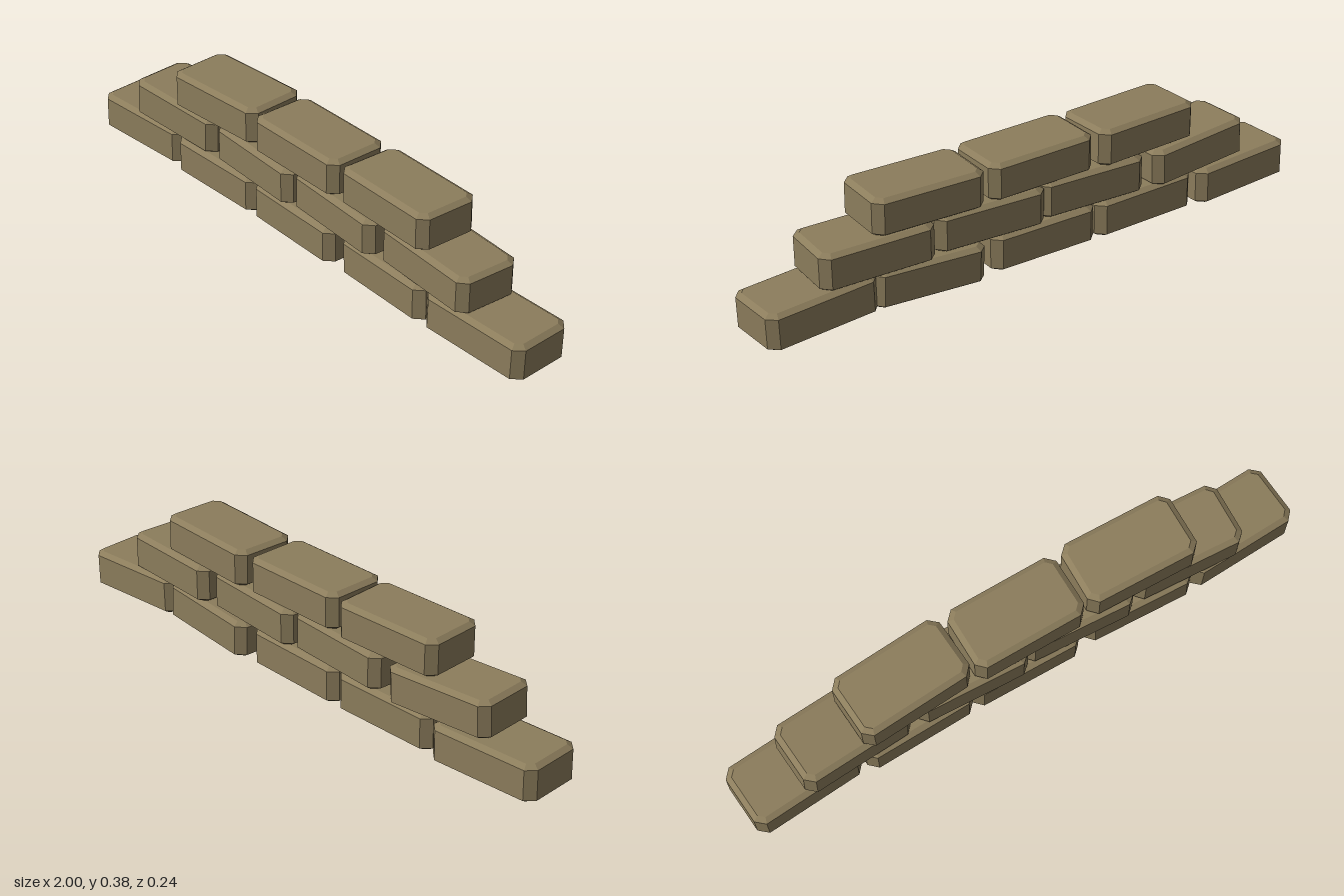
import * as THREE from 'three';

// One chamfered block: octagonal plan, bevelled top and bottom
function blockGeometry(length, height, depth) {
  const corner = 0.018, bevel = 0.018, lip = 0.012;
  const x = length / 2 - bevel, z = depth / 2 - bevel;
  const plan = new THREE.Shape([
    [x, -z + corner], [x, z - corner], [x - corner, z], [-x + corner, z],
    [-x, z - corner], [-x, -z + corner], [-x + corner, -z], [x - corner, -z],
  ].map(([a, b]) => new THREE.Vector2(a, b)));
  const geometry = new THREE.ExtrudeGeometry(plan, {
    depth: height - 2 * lip, bevelEnabled: true, bevelSegments: 1,
    bevelSize: bevel, bevelThickness: lip,
  });
  geometry.rotateX(-Math.PI / 2);
  geometry.center();
  return geometry;
}

export function createModel() {
  const model = new THREE.Group();
  model.name = 'blockWall';
  const sandstone = new THREE.MeshStandardMaterial({ color: 0x8c7d5c, flatShading: true });
  sandstone.name = 'sandstone';
  const geometry = blockGeometry(0.39, 0.125, 0.22);

  // Each block: centre x, yaw, tilt
  const rows = [
    { name: 'bottomRow', y: 0.075, blocks: [
      [-0.798, 0.065, -0.008], [-0.395, 0.02, 0], [-0.003, -0.02, -0.005],
      [0.418, -0.06, 0.03], [0.802, 0.045, -0.03]] },
    { name: 'middleRow', y: 0.2, blocks: [
      [-0.613, 0.065, -0.04], [-0.193, -0.055, 0], [0.193, -0.065, 0], [0.598, -0.06, -0.012]] },
    { name: 'topRow', y: 0.325, blocks: [
      [-0.398, 0.055, 0.006], [0.008, 0, -0.008], [0.417, -0.035, 0.006]] },
  ];
  for (const { name, y, blocks } of rows) {
    const row = new THREE.Group();
    row.name = name;
    blocks.forEach(([x, yaw, tilt], i) => {
      const block = new THREE.Mesh(geometry, sandstone);
      block.name = `${name}Block${i + 1}`;
      block.position.set(x, y, 0);
      block.rotation.set(0, yaw, tilt);
      row.add(block);
    });
    model.add(row);
  }
  return model;
}
